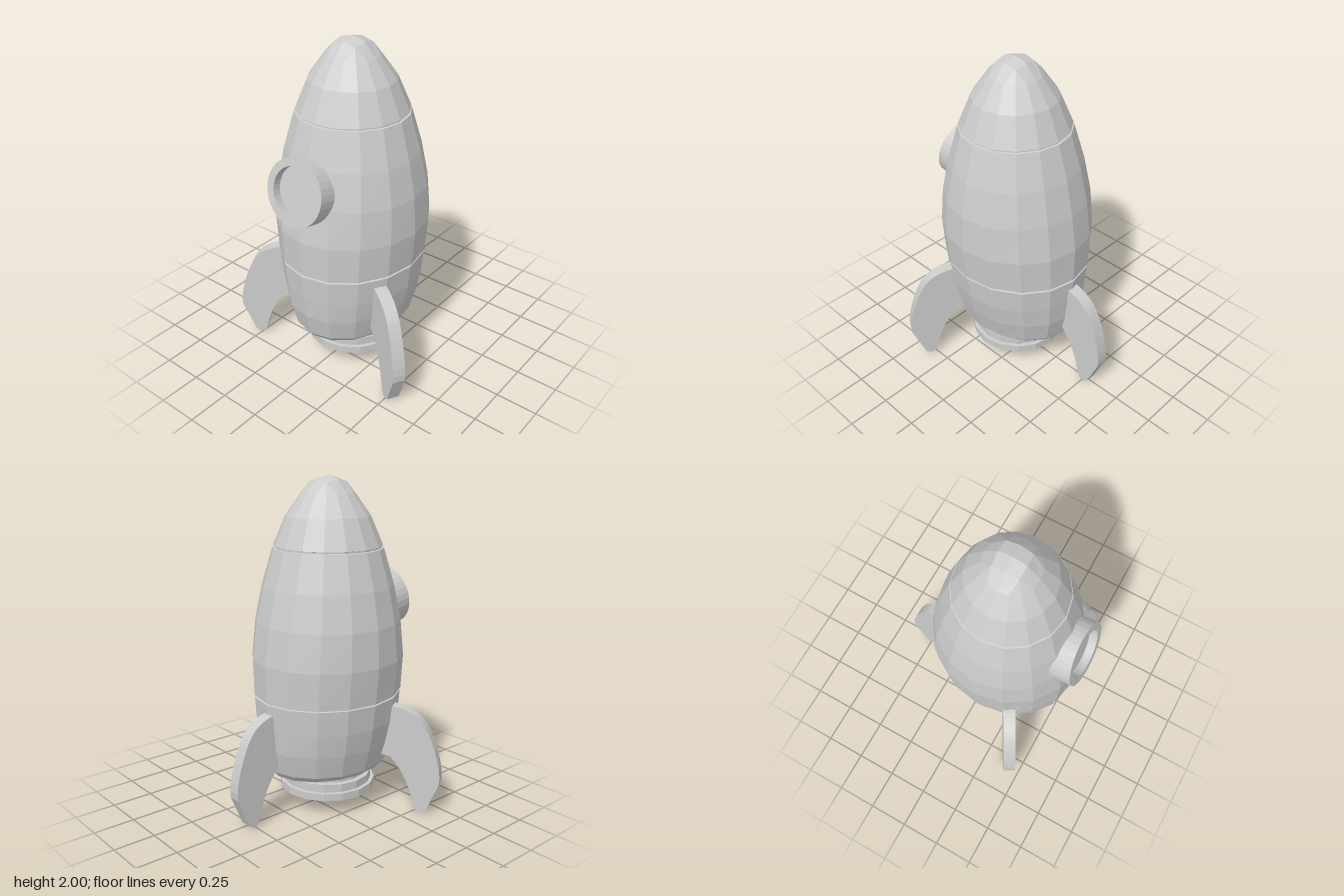
import * as THREE from 'three';

const SIDES = 16;
const mat = new THREE.MeshStandardMaterial({ color: 0xcccccc, flatShading: true });

const point = (i, [y, rx, rz = rx]) => {
  const a = (i / SIDES) * Math.PI * 2;
  return [rx * Math.cos(a), y, rz * Math.sin(a)];
};

const quad = (out, a, b, c, d) => out.push(...a, ...b, ...c, ...a, ...c, ...d);

// Skins a stack of [y, radiusX, radiusZ] rings, bottom to top
function loft(rows) {
  const out = [];
  for (let r = 0; r < rows.length - 1; r++)
    for (let i = 0; i < SIDES; i++)
      quad(out, point(i + 1, rows[r]), point(i, rows[r]), point(i, rows[r + 1]), point(i + 1, rows[r + 1]));
  return out;
}

// Closes the top ring with a rounded 4 x 4 grid of quads
function gridCap(out, ring, axisRow, cornerRow, topY) {
  for (let k = 0; k < SIDES; k += 4) {
    const a0 = point(k, axisRow), a1 = point(k + 4, axisRow), c = point(k + 2, cornerRow);
    const p = [0, 1, 2, 3, 4].map((j) => point(k + j, ring));
    quad(out, a0, c, p[1], p[0]);
    quad(out, c, p[3], p[2], p[1]);
    quad(out, c, a1, p[4], p[3]);
    quad(out, [0, topY, 0], a1, c, a0);
  }
  return out;
}

function faceted(positions) {
  const g = new THREE.BufferGeometry();
  g.setAttribute('position', new THREE.Float32BufferAttribute(positions, 3));
  g.computeVertexNormals();
  return g;
}

function add(parent, name, geometry) {
  const m = new THREE.Mesh(geometry, mat);
  m.name = name;
  parent.add(m);
  return m;
}

export function createModel() {
  const model = new THREE.Group();
  model.name = 'rocket';
  const rocket = new THREE.Group();
  rocket.name = 'rocketBody';
  rocket.position.z = 0.097;
  model.add(rocket);

  // Skirt, hull and nose, each ending in a narrow recessed seam
  add(rocket, 'skirt', faceted(loft([
    [0.235, 0.2, 0.2], [0.245, 0.3, 0.385], [0.28, 0.335, 0.412], [0.42, 0.375, 0.445],
    [0.56, 0.404, 0.458], [0.712, 0.42, 0.467], [0.714, 0.408, 0.455], [0.724, 0.408, 0.455],
  ])));
  add(rocket, 'hull', faceted(loft([
    [0.724, 0.408, 0.455], [0.727, 0.424, 0.468], [0.94, 0.443, 0.47], [1.16, 0.43, 0.44],
    [1.37, 0.39, 0.393], [1.585, 0.328], [1.587, 0.314], [1.596, 0.314],
  ])));
  const noseRows = [[1.596, 0.314], [1.598, 0.323], [1.77, 0.25], [1.9, 0.157]];
  add(rocket, 'nose', faceted(gridCap(loft(noseRows), noseRows[3], [1.98, 0.08], [1.962, 0.108], 2)));

  // Stepped nozzle
  [[0.24, 0.195, 0.26], [0.272, 0.145, 0.195], [0.295, 0.1, 0.145]].forEach(([r, y0, y1], i) => {
    add(rocket, `nozzleStep${i + 1}`, new THREE.CylinderGeometry(r, r, y1 - y0, SIDES)).position.y = (y0 + y1) / 2;
  });

  // Three curved fins, drawn as radius against height
  const s = new THREE.Shape();
  s.moveTo(0.3, 0.36);
  s.lineTo(0.41, 0.34);
  s.bezierCurveTo(0.5, 0.25, 0.54, 0.14, 0.567, 0.02);
  s.lineTo(0.585, 0.004);
  s.lineTo(0.61, 0);
  s.lineTo(0.635, 0.015);
  s.lineTo(0.713, 0.2);
  s.bezierCurveTo(0.728, 0.3, 0.65, 0.52, 0.6, 0.575);
  s.quadraticCurveTo(0.54, 0.65, 0.41, 0.663);
  s.lineTo(0.3, 0.663);
  const finGeometry = new THREE.ExtrudeGeometry(s, { depth: 0.075, bevelEnabled: false, curveSegments: 8 });
  finGeometry.translate(0, 0, -0.0375);
  ['backFin', 'rightFin', 'leftFin'].forEach((name, i) => {
    const fin = add(rocket, name, finGeometry);
    fin.rotation.y = Math.PI / 2 + (i * Math.PI * 2) / 3;
    fin.position.x = -0.007;
  });

  // Porthole tilted with the hull
  const porthole = new THREE.Group();
  porthole.name = 'porthole';
  porthole.position.set(-0.014, 1.252, 0.583);
  porthole.rotation.x = Math.PI / 2 - 0.213;
  model.add(porthole);
  const rim = [[0.193, -0.14], [0.193, 0], [0.147, 0], [0.147, -0.14]].map(([x, y]) => new THREE.Vector2(x, y));
  add(porthole, 'portholeRim', new THREE.LatheGeometry(rim, 32));
  add(porthole, 'portholeGlass', new THREE.CylinderGeometry(0.148, 0.148, 0.02, 32)).position.y = -0.06;

  return model;
}
